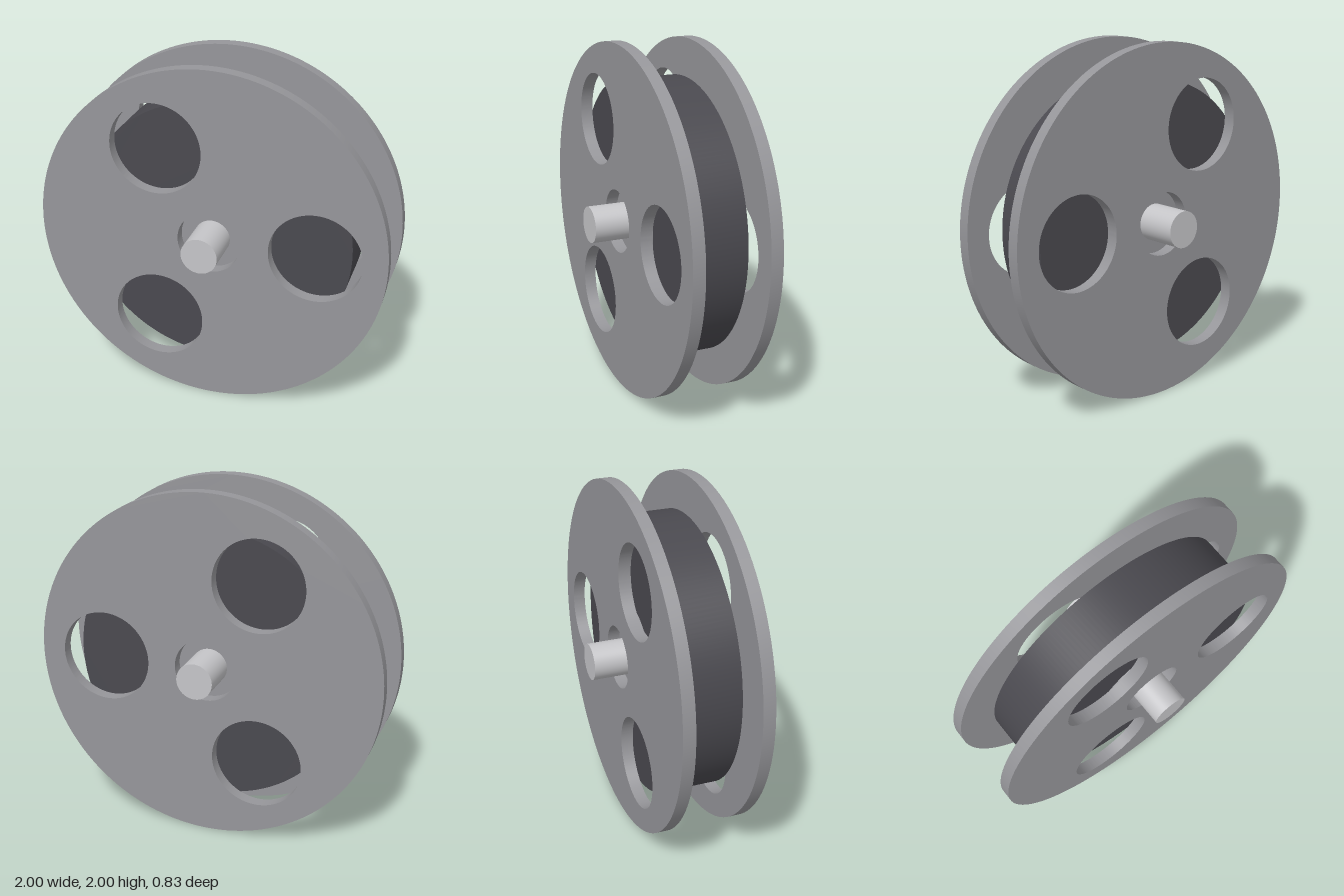
import * as THREE from 'three';
import { toCreasedNormals } from 'three/addons/utils/BufferGeometryUtils.js';

const material = (name, color) => {
  const m = new THREE.MeshStandardMaterial({ color });
  m.name = name;
  return m;
};

export function createModel() {
  const flangeGrey = material('flange grey', 0x96969a);
  const windingDark = material('winding dark grey', 0x4a494f);
  const axleSilver = material('axle silver', 0xc5c5c8);

  const reel = new THREE.Group();
  reel.name = 'reel';
  reel.position.y = 1;

  const add = (name, geometry, mat, z = 0) => {
    const mesh = new THREE.Mesh(geometry, mat);
    mesh.name = name;
    mesh.position.z = z;
    reel.add(mesh);
  };
  // Solid disc or rod along z
  const disc = (radius, depth) =>
    new THREE.CylinderGeometry(radius, radius, depth, 96).rotateX(Math.PI / 2);

  // Flange outline with an axle bore and three round windows
  const outline = new THREE.Shape().absarc(0, 0, 1, 0, Math.PI * 2, false);
  const cutHole = (x, y, r) =>
    outline.holes.push(new THREE.Path().absarc(x, y, r, 0, Math.PI * 2, true));
  cutHole(0, 0, 0.18);
  for (let i = 0; i < 3; i++) {
    const a = (i * Math.PI * 2) / 3;
    cutHole(0.603 * Math.cos(a), 0.603 * Math.sin(a), 0.262);
  }
  const flange = toCreasedNormals(
    new THREE.ExtrudeGeometry(outline, { depth: 0.07, bevelEnabled: false, curveSegments: 96 }),
    Math.PI / 6
  );
  add('frontFlange', flange, flangeGrey, 0.18);
  add('backFlange', flange, flangeGrey, -0.25);

  // Hub between the flanges, wound material around it, and the axle through it
  add('hub', disc(0.31, 0.36), flangeGrey);
  const winding = new THREE.Shape().absarc(0, 0, 0.79, 0, Math.PI * 2, false);
  winding.holes.push(new THREE.Path().absarc(0, 0, 0.31, 0, Math.PI * 2, true));
  add('winding', toCreasedNormals(
    new THREE.ExtrudeGeometry(winding, { depth: 0.326, bevelEnabled: false, curveSegments: 96 }),
    Math.PI / 6
  ), windingDark, -0.163);
  add('axle', disc(0.103, 0.83), axleSilver);

  const model = new THREE.Group();
  model.add(reel);
  return model;
}
